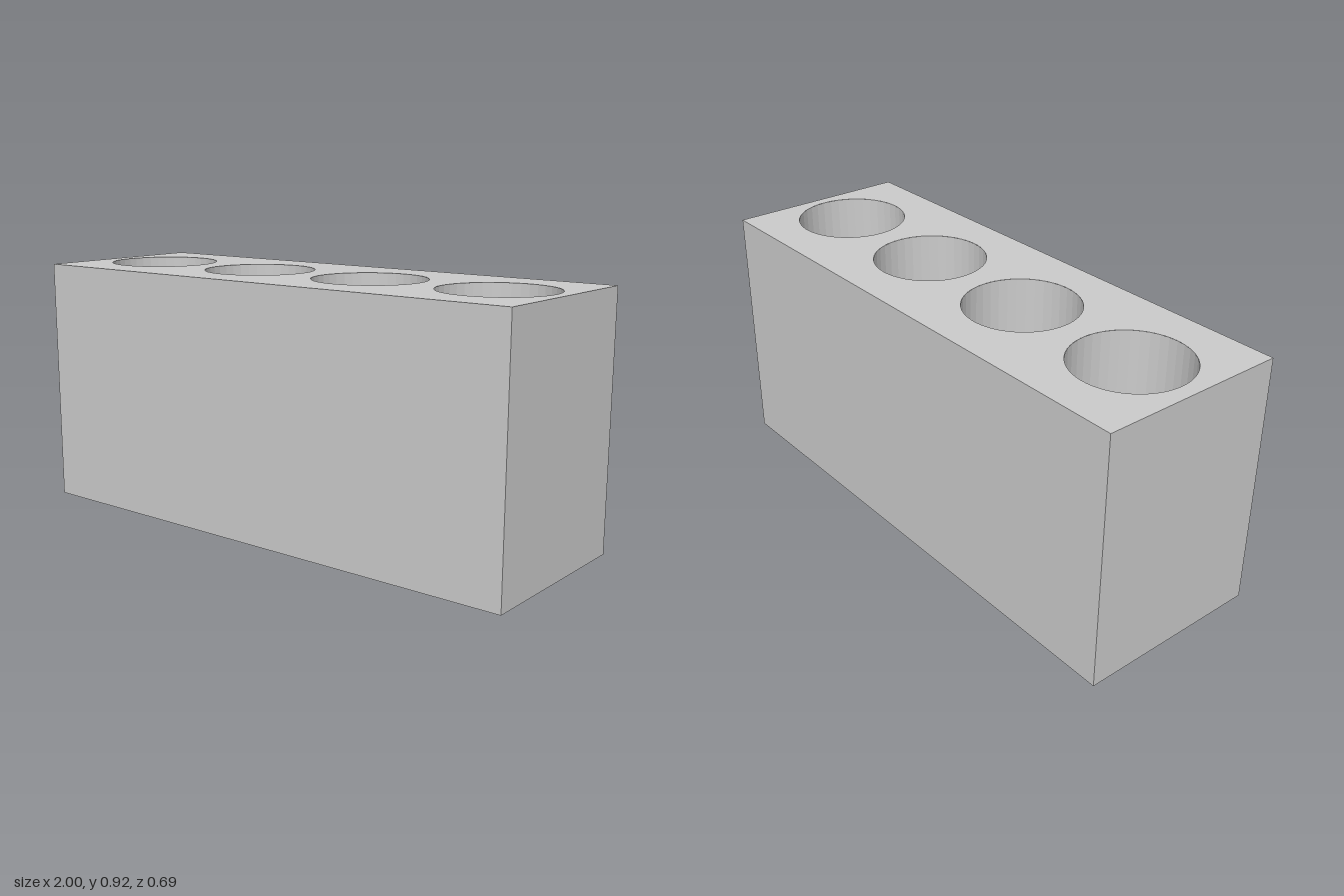
import * as THREE from 'three';

const WIDTH = 2, HEIGHT = 0.915, DEPTH = 0.685;
const RADIUS = 0.202, FLOOR = 0.11, SEGMENTS = 40;
const HOLES = [-0.743, -0.243, 0.257, 0.757];

export function createModel() {
  const group = new THREE.Group();
  group.name = 'holderBlock';
  const material = new THREE.MeshStandardMaterial({ color: 0xcccccc, flatShading: true });

  const add = (name, geometry, x, y) => {
    const mesh = new THREE.Mesh(geometry, material);
    mesh.name = name;
    mesh.position.set(x, y, 0);
    group.add(mesh);
  };

  // Sides and underside: a box with its top face left out
  const body = new THREE.BoxGeometry(WIDTH, HEIGHT, DEPTH);
  const index = Array.from(body.index.array);
  index.splice(12, 6);
  body.setIndex(index);
  body.clearGroups();
  add('body', body, 0, HEIGHT / 2);

  // Top face pierced by the row of round holes
  const w = WIDTH / 2, d = DEPTH / 2;
  const outline = new THREE.Shape([
    new THREE.Vector2(-w, -d), new THREE.Vector2(w, -d),
    new THREE.Vector2(w, d), new THREE.Vector2(-w, d),
  ]);
  for (const x of HOLES) {
    outline.holes.push(new THREE.Path().absarc(x, 0, RADIUS, 0, Math.PI * 2, true));
  }
  add('topFace', new THREE.ShapeGeometry(outline, SEGMENTS).rotateX(-Math.PI / 2), 0, HEIGHT);

  // Blind wells: profile runs from the rim down to the floor centre, facing inward
  const well = new THREE.LatheGeometry([
    new THREE.Vector2(RADIUS, HEIGHT),
    new THREE.Vector2(RADIUS, FLOOR),
    new THREE.Vector2(0, FLOOR),
  ], SEGMENTS);
  HOLES.forEach((x, i) => add(`well${i + 1}`, well, x, 0));

  return group;
}
